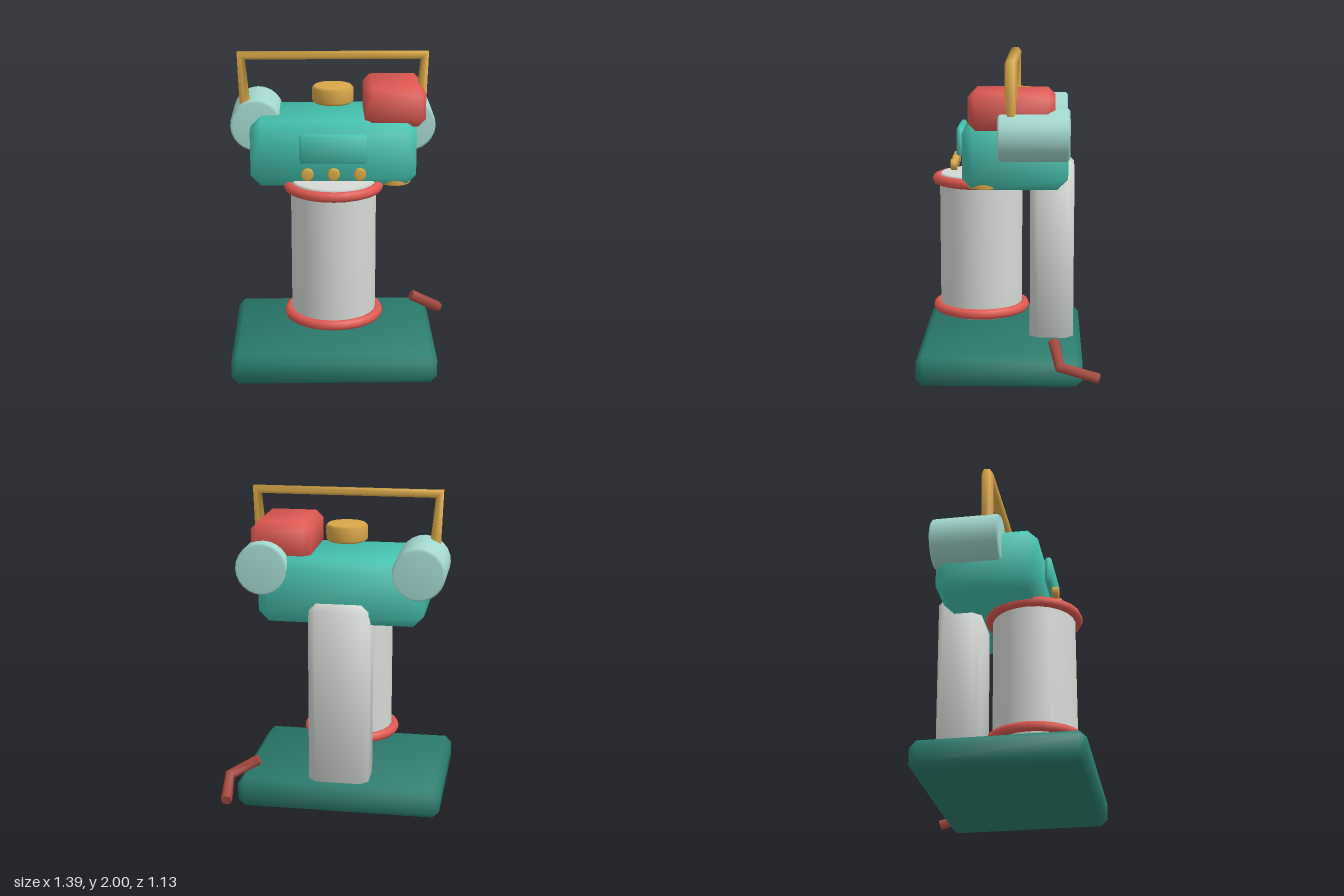
import * as THREE from 'three';
import { ConvexGeometry } from 'three/addons/geometries/ConvexGeometry.js';
import { mergeGeometries } from 'three/addons/utils/BufferGeometryUtils.js';

const material = (name, color) => {
  const m = new THREE.MeshStandardMaterial({ color });
  m.name = name;
  return m;
};

// Box with single-step chamfered edges and softened normals, given by its extents
function chamferBox([x0, x1], [y0, y1], [z0, z1], c) {
  const half = [(x1 - x0) / 2, (y1 - y0) / 2, (z1 - z0) / 2];
  const points = [];
  for (const sx of [-1, 1]) for (const sy of [-1, 1]) for (const sz of [-1, 1]) {
    const s = [sx, sy, sz];
    for (let axis = 0; axis < 3; axis++) {
      points.push(new THREE.Vector3(...s.map((v, i) => v * (half[i] - (i === axis ? 0 : c)))));
    }
  }
  const geo = new ConvexGeometry(points);
  const pos = geo.attributes.position;
  const n = new THREE.Vector3();
  for (let i = 0; i < pos.count; i++) {
    const p = [pos.getX(i), pos.getY(i), pos.getZ(i)];
    n.set(...p.map((v, k) => Math.sign(v) * (Math.abs(v) > half[k] - c / 2 ? 0.87 : 0.34))).normalize();
    geo.attributes.normal.setXYZ(i, n.x, n.y, n.z);
  }
  return geo.translate((x0 + x1) / 2, (y0 + y1) / 2, (z0 + z1) / 2);
}

// Upright cylinder with chamfered rims, centred on the origin
function chamferCylinder(r, height, c, sides = 24) {
  const h = height / 2;
  const profile = [[0, -h], [r - c, -h], [r, c - h], [r, h - c], [r - c, h], [0, h]];
  return new THREE.LatheGeometry(profile.map(([x, y]) => new THREE.Vector2(x, y)), sides);
}

// Path of straight runs with averaged directions at the bends
class BentPath extends THREE.Curve {
  constructor(points) {
    super();
    this.points = points.map((p) => new THREE.Vector3(...p));
  }
  getPoint(t, target = new THREE.Vector3()) {
    const f = t * (this.points.length - 1);
    const i = Math.min(Math.floor(f + 1e-6), this.points.length - 2);
    return target.lerpVectors(this.points[i], this.points[i + 1], f - i);
  }
  getPointAt(t, target) {
    return this.getPoint(t, target);
  }
  getTangentAt(t, target = new THREE.Vector3()) {
    const p = this.points, last = p.length - 1;
    const i = Math.round(t * last);
    target.set(0, 0, 0);
    if (i > 0) target.add(p[i].clone().sub(p[i - 1]).normalize());
    if (i < last) target.add(p[i + 1].clone().sub(p[i]).normalize());
    return target.normalize();
  }
}

// Six-sided bent rod with closed ends
function bentRod(points, r) {
  const path = new BentPath(points);
  const runs = points.length - 1;
  const tube = new THREE.TubeGeometry(path, runs, r, 6, false);
  const frames = path.computeFrenetFrames(runs);
  const caps = [0, runs].map((i) => {
    const z = frames.tangents[i].clone().multiplyScalar(i ? 1 : -1);
    const x = frames.normals[i];
    const m = new THREE.Matrix4().makeBasis(x, z.clone().cross(x), z);
    return new THREE.CircleGeometry(r, 6).applyMatrix4(m.setPosition(path.points[i]));
  });
  return mergeGeometries([tube, ...caps]);
}

export function createModel() {
  const group = new THREE.Group();
  const teal = material('teal', 0x45c4b0);
  const darkTeal = material('dark teal', 0x2a7d6f);
  const paleTeal = material('pale teal', 0xa3d9d0);
  const silver = material('silver', 0xd5dad5);
  const red = material('red', 0xe05a52);
  const darkRed = material('dark red', 0xa84a40);
  const gold = material('gold', 0xd9a748);

  const add = (name, geo, mat, x = 0, y = 0, z = 0) => {
    const mesh = new THREE.Mesh(geo, mat);
    mesh.name = name;
    mesh.position.set(x, y, z);
    group.add(mesh);
    return mesh;
  };
  const cx = -0.057; // shared centre line

  // Stand
  add('base', chamferBox([-0.7, 0.585], [0, 0.19], [-0.46, 0.565], 0.042), darkTeal);
  add('column', chamferBox([-0.245, 0.135], [0.12, 1.345], [-0.41, -0.13], 0.05), silver);

  // Canister with its two hoops
  add('canister', chamferCylinder(0.265, 0.92, 0.015), silver, cx, 0.78, 0.187);
  for (const [name, y] of [['lowerHoop', 0.365], ['upperHoop', 1.2]]) {
    add(name, new THREE.TorusGeometry(0.279, 0.033, 8, 24).rotateX(Math.PI / 2), red, cx, y, 0.187);
  }

  // Head with side drums and top box
  add('head', chamferBox([-0.57, 0.455], [1.2, 1.61], [-0.365, 0.28], 0.066), teal);
  for (const [name, x] of [['rightDrum', -0.538], ['leftDrum', 0.423]]) {
    add(name, chamferCylinder(0.162, 0.435, 0.015).rotateX(Math.PI / 2), paleTeal, x, 1.54, -0.157);
  }
  add('topBox', chamferBox([0.135, 0.51], [1.57, 1.81], [-0.285, 0.24], 0.045), red);
  add('topKnob', chamferCylinder(0.13, 0.11, 0.015), gold, cx, 1.725, -0.043);
  add('cornerFoot', chamferCylinder(0.1, 0.08, 0.006), gold, 0.325, 1.243, 0.152);

  // Front panel and buttons
  add('panel', chamferBox([-0.265, 0.15], [1.37, 1.55], [0.287, 0.33], 0.013), teal);
  for (let i = -1; i <= 1; i++) {
    add('button', chamferCylinder(0.037, 0.042, 0.006, 16).rotateX(Math.PI / 2), gold, cx + i * 0.16, 1.31, 0.349);
  }

  // Carrying handle and crank
  add('handle', bentRod([
    [-0.607, 1.645, -0.02], [-0.628, 1.973, -0.02], [0.514, 1.973, -0.02], [0.493, 1.645, -0.02],
  ], 0.038), gold);
  add('crank', bentRod([[0.475, 0.265, -0.285], [0.66, 0.163, -0.32], [0.628, 0.085, -0.555]], 0.036), darkRed);

  return group;
}
